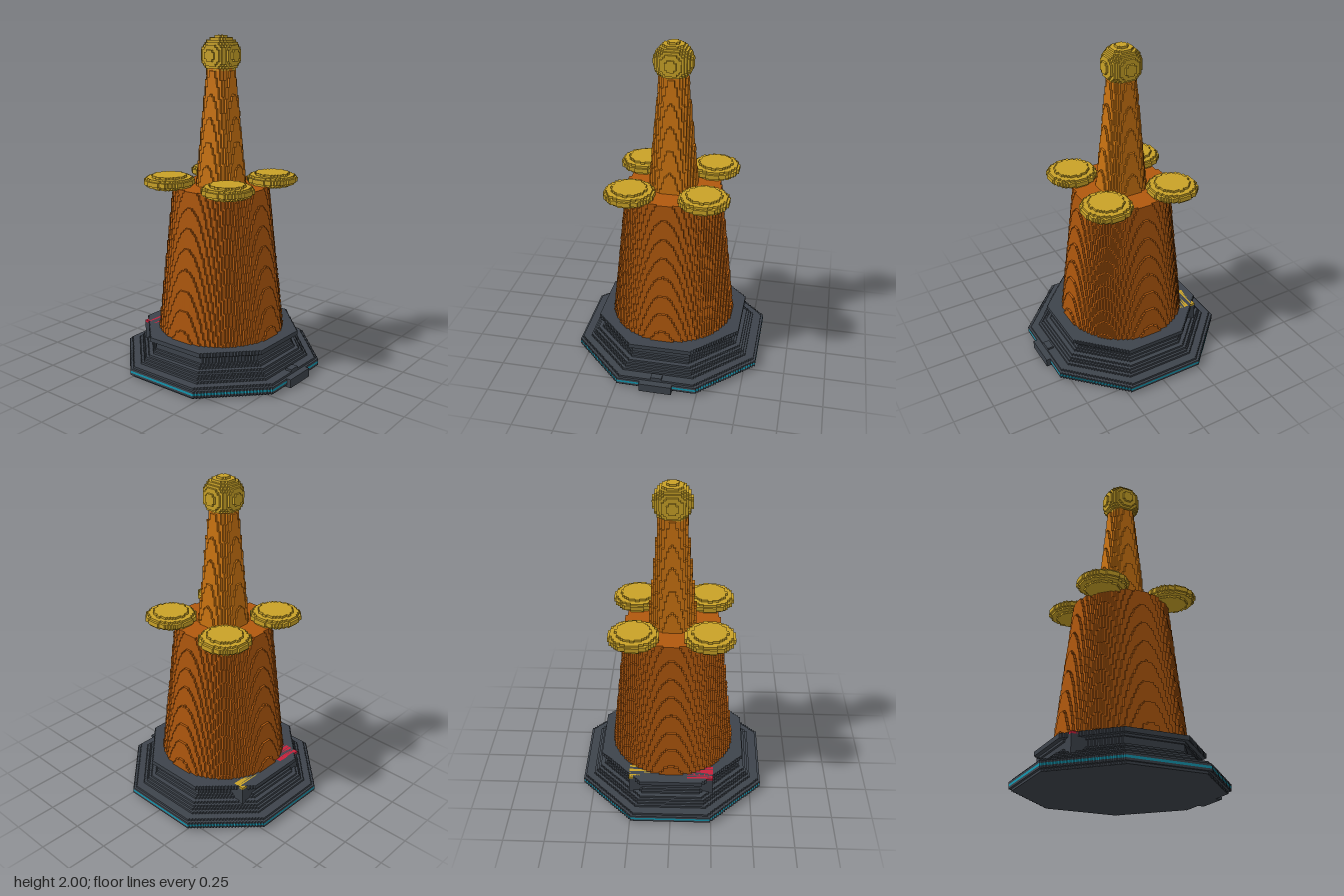
import * as THREE from 'three';

const S = 2 / 150;          // edge of one small cube
const CZ = -1;              // the tower's axis sits one cube behind the middle

const paint = (name, color) => Object.assign(new THREE.MeshStandardMaterial({ color }), { name });

// Builds the outer skin of all cubes (i, j, k) inside [lo, hi] for which test() holds.
function voxels(name, material, lo, hi, test) {
  const pos = [], nor = [];
  const filled = (c) => c.every((v, a) => v >= lo[a] && v <= hi[a]) && test(c[0], c[1], c[2]);
  const quad = (d, s, a, b) => {
    const u = (d + 1) % 3, v = (d + 2) % 3;
    const corner = (fu, fv) => {
      const p = [0, 0, 0];
      p[d] = a[d] + (s > 0 ? 1 : 0);
      p[u] = fu ? b[u] + 1 : a[u];
      p[v] = fv ? b[v] + 1 : a[v];
      return [(p[0] - 0.5) * S, p[1] * S, (p[2] - 0.5 + CZ) * S];
    };
    const q = [corner(0, 0), corner(1, 0), corner(1, 1), corner(0, 1)];
    const order = s > 0 ? [0, 1, 2, 0, 2, 3] : [0, 2, 1, 0, 3, 2];
    for (const n of order) {
      pos.push(...q[n]);
      nor.push(d === 0 ? s : 0, d === 1 ? s : 0, d === 2 ? s : 0);
    }
  };
  for (let d = 0; d < 3; d++) {
    const r = d === 1 ? 0 : 1;            // neighbouring faces join along this axis
    const o = 3 - d - r;
    for (const s of [-1, 1]) {
      for (let x = lo[d]; x <= hi[d]; x++) for (let y = lo[o]; y <= hi[o]; y++) {
        let start = null, last = null;
        for (let t = lo[r]; t <= hi[r] + 1; t++) {
          const c = [0, 0, 0];
          c[d] = x; c[o] = y; c[r] = t;
          const n = c.slice();
          n[d] += s;
          if (filled(c) && !filled(n)) {
            start = start || c;
            last = c;
          } else if (start) {
            quad(d, s, start, last);
            start = null;
          }
        }
      }
    }
  }
  const g = new THREE.BufferGeometry();
  g.setAttribute('position', new THREE.Float32BufferAttribute(pos, 3));
  g.setAttribute('normal', new THREE.Float32BufferAttribute(nor, 3));
  const mesh = new THREE.Mesh(g, material);
  mesh.name = name;
  return mesh;
}

const octagon = (i, k, a) =>
  Math.max(Math.abs(i), Math.abs(k)) <= a && Math.abs(i) + Math.abs(k) <= (a + 0.5) * Math.SQRT2;

// Round cone of cubes between two heights
function cone(name, material, j0, j1, r0, r1) {
  const m = Math.ceil(r0);
  return voxels(name, material, [-m, j0, -m], [m, j1, m], (i, j, k) =>
    Math.hypot(i, k) <= r0 + (r1 - r0) * (j - j0) / (j1 - j0));
}

const block = (name, material, lo, hi) => voxels(name, material, lo, hi, () => true);

export function createModel() {
  const slate = paint('slate', 0x3d434b);
  const rust = paint('rust orange', 0xb0580d);
  const amber = paint('amber', 0xcc7411);
  const gold = paint('gold', 0xc9a227);
  const red = paint('red', 0xc8203a);
  const teal = paint('teal', 0x1597b0);

  const model = new THREE.Group();
  model.name = 'tower';

  // Octagonal base: half-width of each layer, with one coloured band
  const widths = [41, 42, 42, 42, 41, 37, 36, 35, 34, 32, 31, 30, 30, 30, 31, 33, 33];
  const band = 2;
  model.add(voxels('base', slate, [-42, 0, -42], [42, 16, 42],
    (i, j, k) => j !== band && octagon(i, k, widths[j])));
  model.add(voxels('baseBand', teal, [-42, band, -42], [42, band, 42],
    (i, j, k) => octagon(i, k, widths[band])));

  // Front step and catch
  model.add(block('frontStep', slate, [-7, 0, 42], [7, 3, 44]));
  model.add(block('frontCatch', slate, [-2, 4, 39], [2, 5, 41]));

  // Rear lamps on dark brackets
  for (const [side, mat] of [[-1, red], [1, gold]]) {
    const x0 = side < 0 ? -19 : 8, x1 = x0 + 11;
    model.add(block('lampBracket', slate, [x0, 6, -30], [x1, 15, -23]));
    model.add(block('rearLamp', mat, [x0, 16, -30], [x1, 16, -23]));
  }

  // Tapered body and slim upper column
  model.add(cone('body', rust, 17, 83, 28.5, 21.3));
  model.add(cone('column', amber, 84, 136, 10.9, 5.9));

  // Ball on top
  model.add(voxels('topBall', gold, [-8, 133, -8], [8, 149, 8],
    (i, j, k) => Math.hypot(i, j - 141, k) <= 8.4));

  // Four flattened discs around the shoulder
  for (const sx of [-1, 1]) for (const sz of [-1, 1]) {
    const cx = sx * 16.5, cz = sz * 16.5;
    model.add(voxels('shoulderDisc', gold,
      [cx - 10.5, 83, cz - 10.5], [cx + 10.5, 88, cz + 10.5],
      (i, j, k) => Math.hypot((i - cx) / 11.1, (k - cz) / 11.1, (j - 85.5) / 3.4) <= 1));
  }
  return model;
}
